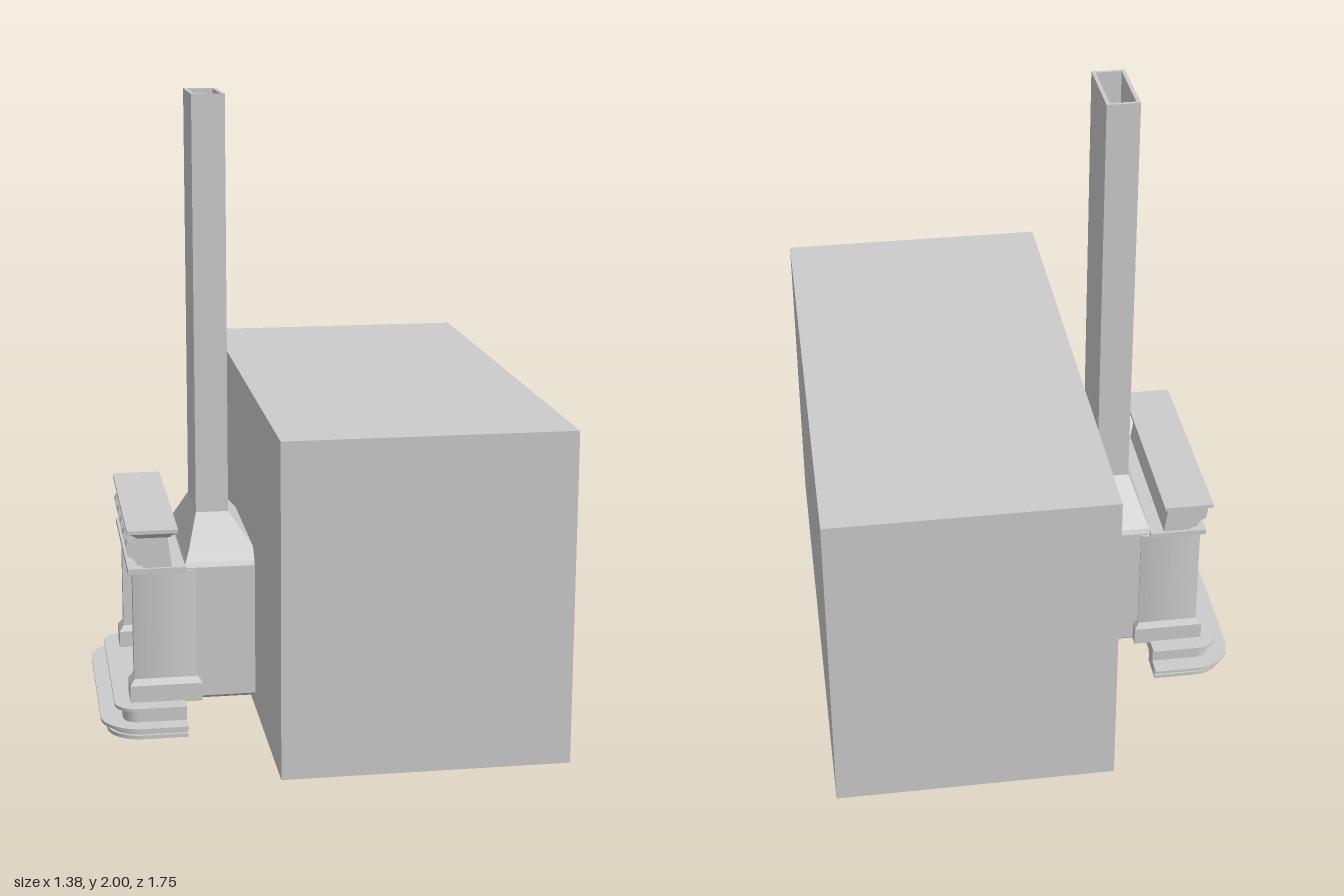
import * as THREE from 'three';

const grey = new THREE.MeshStandardMaterial({ color: 0xcccccc, side: THREE.DoubleSide });

function add(parent, name, geometry) {
  const mesh = new THREE.Mesh(geometry, grey);
  mesh.name = name;
  parent.add(mesh);
  return mesh;
}

// Box given by its limits on each axis
function block(parent, name, x0, x1, y0, y1, z0, z1) {
  const mesh = add(parent, name, new THREE.BoxGeometry(x1 - x0, y1 - y0, z1 - z0));
  mesh.position.set((x0 + x1) / 2, (y0 + y1) / 2, (z0 + z1) / 2);
  return mesh;
}

// Plan outline with two rounded corners, open side at xBack
function roundedPlan(path, xFront, xBack, halfZ, r) {
  path.moveTo(xBack, -halfZ);
  path.lineTo(xBack, halfZ);
  path.lineTo(xFront + r, halfZ);
  path.absarc(xFront + r, halfZ - r, r, Math.PI / 2, Math.PI, false);
  path.lineTo(xFront, -halfZ + r);
  path.absarc(xFront + r, -halfZ + r, r, Math.PI, Math.PI * 1.5, false);
  path.closePath();
  return path;
}

// Horizontal slab; with a ring width it becomes a U-shaped kerb
function slab(parent, name, xFront, halfZ, r, y0, y1, ring = 0) {
  const back = -0.42;
  let shape = roundedPlan(new THREE.Shape(), xFront, back, halfZ, r);
  if (ring) {
    const inner = roundedPlan(new THREE.Path(), xFront + ring, back, halfZ - ring, r * 0.4).getPoints(8);
    const outer = shape.getPoints(8);
    // follow the outer edge, then return along the inner edge
    const open = (pts) => pts.slice(1, -1).concat([new THREE.Vector2(back, pts[0].y)]);
    shape = new THREE.Shape([...open(outer), ...open(inner).reverse()]);
  }
  const g = new THREE.ExtrudeGeometry(shape, { depth: y1 - y0, bevelEnabled: false, curveSegments: 8 });
  g.rotateX(Math.PI / 2).translate(0, y1, 0);
  add(parent, name, g);
}

// Skin through rectangular rings [y, x0, x1, halfZ]; skip(i, side) leaves openings
function loft(rings, skip = () => false) {
  const corners = rings.map(([y, x0, x1, z]) => [[x0, y, z], [x1, y, z], [x1, y, -z], [x0, y, -z]]);
  const pos = [];
  for (let i = 0; i < rings.length - 1; i++) {
    for (let s = 0; s < 4; s++) {
      if (skip(i, s)) continue;
      const t = (s + 1) % 4;
      const [a, b, c, d] = [corners[i][s], corners[i][t], corners[i + 1][t], corners[i + 1][s]];
      pos.push(...a, ...b, ...c, ...a, ...c, ...d);
    }
  }
  const g = new THREE.BufferGeometry();
  g.setAttribute('position', new THREE.Float32BufferAttribute(pos, 3));
  g.computeVertexNormals();
  return g;
}

// Side profile in (x, y) extruded along z, centred on z
function profile(parent, name, pts, z, width) {
  const g = new THREE.ExtrudeGeometry(new THREE.Shape(pts.map(p => new THREE.Vector2(...p))),
    { depth: width, bevelEnabled: false });
  return add(parent, name, g.translate(0, 0, z - width / 2));
}

export function createModel() {
  const root = new THREE.Group();
  root.name = 'fireplaceWithBlock';
  const group = (name) => {
    const g = new THREE.Group();
    g.name = name;
    root.add(g);
    return g;
  };

  // Large block behind the fireplace
  block(root, 'largeBlock', -0.19, 0.69, 0.04, 1.07, -0.875, 0.875);

  // Stepped hearth
  const hearth = group('hearth');
  slab(hearth, 'lowerKerbFoot', -0.67, 0.40, 0.11, 0, 0.012, 0.1);
  slab(hearth, 'lowerKerbBody', -0.66, 0.39, 0.10, 0.012, 0.03, 0.09);
  slab(hearth, 'lowerKerbLip', -0.69, 0.415, 0.13, 0.03, 0.04, 0.12);
  slab(hearth, 'upperStepBody', -0.62, 0.355, 0.05, 0.04, 0.08);
  slab(hearth, 'upperStepLip', -0.645, 0.37, 0.07, 0.08, 0.09);

  // Firebox tapering into a hollow flue, open at the fire side
  const flue = group('fireboxAndFlue');
  add(flue, 'fireboxAndChimney', loft([
    [0.08, -0.41, -0.2, 0.27], [0.09, -0.42, -0.19, 0.28], [0.52, -0.42, -0.19, 0.28],
    [0.535, -0.41, -0.19, 0.272], [0.57, -0.395, -0.19, 0.235], [0.66, -0.362, -0.257, 0.13],
    [2, -0.362, -0.257, 0.13], [2, -0.35, -0.269, 0.118], [0.66, -0.35, -0.269, 0.118],
  ], (i, s) => i === 1 && s === 3));
  block(flue, 'fireboxFloor', -0.42, -0.2, 0.08, 0.09, -0.27, 0.27);

  // Matching jambs with plinths
  const surround = group('surround');
  for (const s of [-1, 1]) {
    const side = new THREE.Group();
    side.name = s > 0 ? 'leftJamb' : 'rightJamb';
    side.scale.z = s;
    surround.add(side);
    block(side, 'plinth', -0.595, -0.365, 0.085, 0.145, 0.22, 0.312);
    add(side, 'plinthBevel', loft([[0.145, -0.595, -0.365, 0.046], [0.165, -0.58, -0.38, 0.034]]))
      .position.z = 0.266;
    // gently bowed outer face
    const jamb = new THREE.Shape();
    jamb.moveTo(-0.58, 0.24);
    jamb.lineTo(-0.38, 0.24);
    jamb.lineTo(-0.38, 0.285);
    jamb.quadraticCurveTo(-0.48, 0.315, -0.58, 0.285);
    const g = new THREE.ExtrudeGeometry(jamb, { depth: 0.36, bevelEnabled: false, curveSegments: 10 });
    add(side, 'jambPost', g.rotateX(Math.PI / 2).translate(0, 0.515, 0));
  }

  // Frieze, corbels and shelf
  const mantel = group('mantel');
  block(mantel, 'lowerMoulding', -0.595, -0.41, 0.512, 0.53, -0.3, 0.3);
  profile(mantel, 'frieze', [[-0.545, 0.53], [-0.455, 0.53], [-0.47, 0.64], [-0.545, 0.64]], 0, 0.58);
  for (let i = 0; i < 5; i++) {
    const z = -0.27 + i * 0.135;
    profile(mantel, 'corbel', [[-0.54, 0.535], [-0.565, 0.54], [-0.575, 0.56], [-0.595, 0.57],
      [-0.6, 0.6], [-0.59, 0.62], [-0.565, 0.635], [-0.54, 0.635]], z, 0.04);
    const scroll = add(mantel, 'corbelScroll', new THREE.CylinderGeometry(0.017, 0.017, 0.05, 12));
    scroll.rotation.x = Math.PI / 2;
    scroll.position.set(-0.583, 0.605, z);
  }
  add(mantel, 'shelfCove', loft([[0.635, -0.565, -0.46, 0.315], [0.645, -0.575, -0.46, 0.33],
    [0.65, -0.58, -0.45, 0.34], [0.662, -0.595, -0.445, 0.355]]));
  block(mantel, 'shelfTop', -0.6, -0.44, 0.66, 0.672, -0.36, 0.36);

  // Fire basket below a small curved hood
  const fire = group('fireBasket');
  const hood = new THREE.LatheGeometry([[0.1, 0.32], [0.085, 0.36], [0.06, 0.4], [0.05, 0.46], [0.05, 0.51]]
    .map(p => new THREE.Vector2(...p)), 16, Math.PI, Math.PI);
  add(fire, 'hood', hood).position.x = -0.4;
  block(fire, 'hoodBack', -0.41, -0.4, 0.09, 0.46, -0.1, 0.1);
  for (let i = 0; i < 9; i++) {
    const a = -Math.PI / 2 + (i / 8) * Math.PI;
    const bar = (r, y) => new THREE.Vector3(-0.41 - r * Math.cos(a), y, r * Math.sin(a));
    const curve = new THREE.CatmullRomCurve3([bar(0.09, 0.09), bar(0.08, 0.16), bar(0.1, 0.25)]);
    add(fire, 'basketBar', new THREE.TubeGeometry(curve, 6, 0.007, 6));
  }
  for (const [r, y] of [[0.08, 0.16], [0.1, 0.25]]) {
    const rail = add(fire, 'basketRail', new THREE.TorusGeometry(r, 0.009, 6, 16, Math.PI));
    rail.rotation.set(Math.PI / 2, 0, Math.PI / 2);
    rail.position.set(-0.41, y, 0);
  }
  return root;
}
